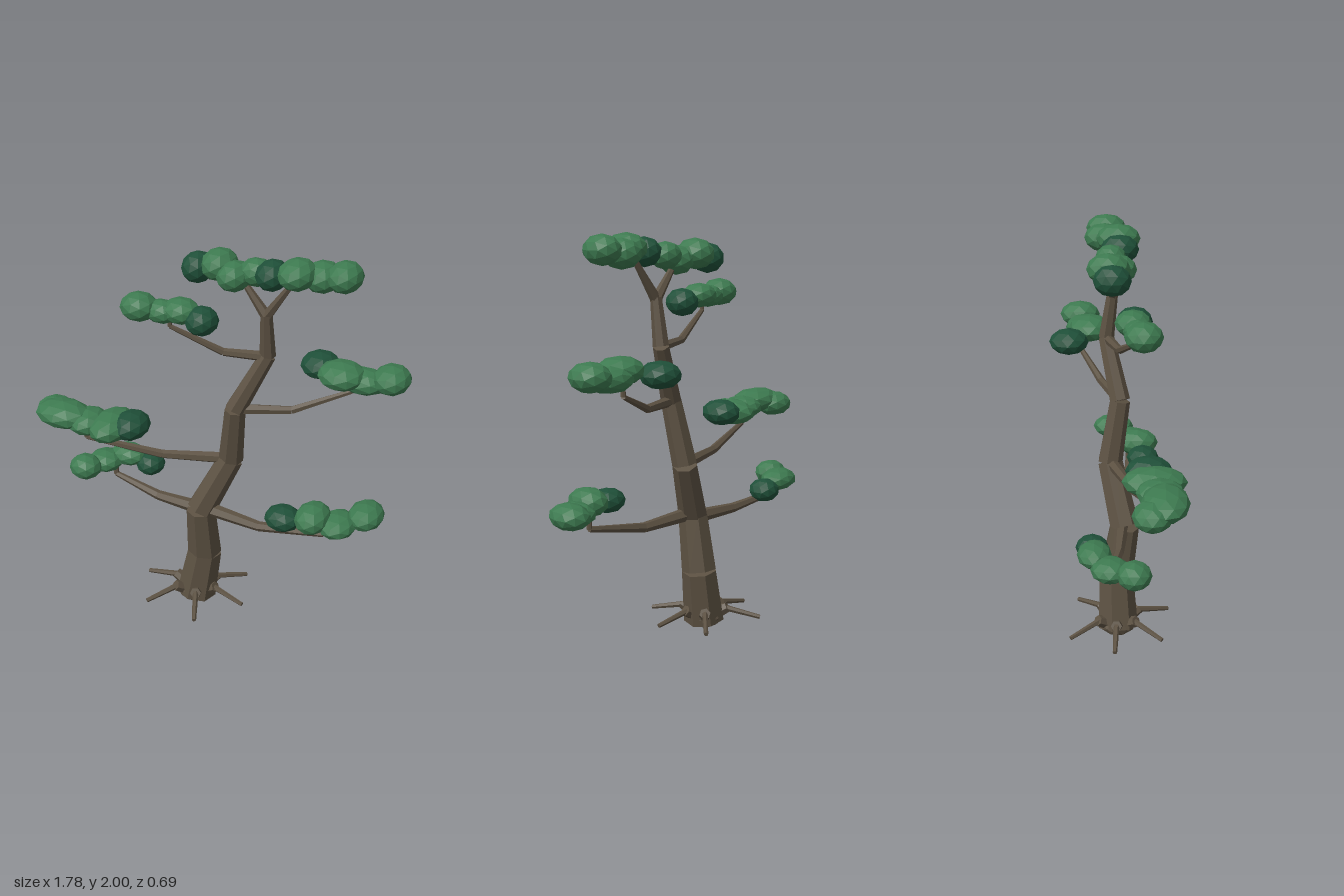
import * as THREE from 'three';

const mat = (name, color) => {
  const m = new THREE.MeshStandardMaterial({ color, flatShading: true });
  m.name = name;
  return m;
};

export function createModel() {
  const bark = mat('bark', 0x5c5142);
  const leaf = mat('leafGreen', 0x3d7a50);
  const darkLeaf = mat('darkLeafGreen', 0x1f5039);
  const model = new THREE.Group();
  model.name = 'bonsaiTree';

  const group = (name) => {
    const g = new THREE.Group();
    g.name = name;
    model.add(g);
    return g;
  };

  // Chain of tapered straight limbs through points [x, y, z, radius]
  const limb = (parent, name, points, sides) => {
    for (let i = 0; i < points.length - 1; i++) {
      const a = new THREE.Vector3(...points[i].slice(0, 3));
      const b = new THREE.Vector3(...points[i + 1].slice(0, 3));
      const dir = b.clone().sub(a);
      const geo = new THREE.CylinderGeometry(points[i + 1][3], points[i][3], dir.length(), sides);
      const mesh = new THREE.Mesh(geo, bark);
      mesh.name = name;
      mesh.position.copy(a).add(b).multiplyScalar(0.5);
      mesh.quaternion.setFromUnitVectors(new THREE.Vector3(0, 1, 0), dir.normalize());
      parent.add(mesh);
    }
  };

  // Faceted, squashed ball
  const blob = (parent, name, [x, y, z, rx, ry, rz], material) => {
    const mesh = new THREE.Mesh(new THREE.IcosahedronGeometry(1, 1), material);
    mesh.name = name;
    mesh.position.set(x, y, z);
    mesh.scale.set(rx, ry, rz);
    parent.add(mesh);
  };

  // Trunk zigzagging upward, with a rounded foot
  const trunk = group('trunk');
  limb(trunk, 'trunkSegment', [
    [-0.1, 0.05, 0.01, 0.104], [-0.055, 0.32, 0, 0.088], [-0.053, 0.6, 0.042, 0.074],
    [0.075, 0.89, -0.032, 0.062], [0.118, 1.2, 0.015, 0.051],
    [0.248, 1.48, -0.055, 0.039], [0.25, 1.7, -0.025, 0.028],
  ], 7);
  blob(trunk, 'trunkFoot', [-0.1, 0.07, 0.01, 0.098, 0.065, 0.098], bark);

  // Roots: a thick knuckle and a thin tip
  const roots = group('roots');
  for (const degrees of [-47, 7, 65, 127, 181, 234]) {
    const c = Math.cos(degrees * Math.PI / 180), s = Math.sin(degrees * Math.PI / 180);
    const at = (r, y, radius) => [-0.1 + c * r, y, 0.01 + s * r, radius];
    limb(roots, 'rootKnuckle', [at(0.04, 0.07, 0.036), at(0.12, 0.115, 0.028)], 6);
    limb(roots, 'rootTip', [at(0.09, 0.115, 0.016), at(0.285, 0.072, 0.011)], 6);
  }

  // Branches, each ending in a short upright twig
  const branches = group('branches');
  const paths = {
    lowRightBranch: [[-0.05, 0.59, 0.03, 0.036], [-0.31, 0.588, 0.02, 0.025], [-0.575, 0.627, -0.01, 0.014], [-0.575, 0.69, -0.01, 0.01]],
    lowLeftBranch: [[-0.04, 0.61, 0.04, 0.036], [0.27, 0.595, 0.05, 0.025], [0.607, 0.655, 0.05, 0.014], [0.607, 0.73, 0.05, 0.01]],
    middleRightBranch: [[0.075, 0.89, -0.03, 0.03], [-0.24, 0.893, 0.09, 0.022], [-0.59, 0.967, 0.22, 0.013], [-0.59, 1.04, 0.22, 0.01]],
    middleLeftBranch: [[0.118, 1.2, 0.015, 0.027], [0.365, 1.205, -0.085, 0.02], [0.62, 1.308, -0.215, 0.012], [0.62, 1.38, -0.215, 0.009]],
    upperRightBranch: [[0.245, 1.475, -0.05, 0.025], [0.055, 1.485, 0.015, 0.019], [-0.175, 1.605, 0.105, 0.011], [-0.175, 1.66, 0.105, 0.009]],
    rightFork: [[0.25, 1.69, -0.025, 0.026], [0.12, 1.86, -0.02, 0.012]],
    leftFork: [[0.25, 1.69, -0.025, 0.026], [0.385, 1.89, -0.02, 0.012]],
  };
  for (const [name, points] of Object.entries(paths)) limb(branches, name, points, 6);

  // Foliage pads: the first blob of each pad is dark
  const pads = {
    lowRightPad: [
      [-0.42, 0.685, -0.1, 0.075, 0.06, 0.078], [-0.54, 0.718, -0.085, 0.1, 0.055, 0.08],
      [-0.635, 0.695, -0.01, 0.09, 0.055, 0.09], [-0.69, 0.7, 0.1, 0.085, 0.065, 0.08],
    ],
    lowLeftPad: [
      [0.43, 0.745, 0.13, 0.09, 0.06, 0.085], [0.57, 0.77, 0.1, 0.085, 0.07, 0.11],
      [0.68, 0.742, 0.06, 0.09, 0.055, 0.11], [0.785, 0.768, -0.035, 0.085, 0.062, 0.11],
    ],
    middleRightPad: [
      [-0.37, 1.06, 0.16, 0.09, 0.068, 0.11], [-0.46, 1.05, 0.185, 0.105, 0.068, 0.15],
      [-0.58, 1.055, 0.21, 0.1, 0.06, 0.11], [-0.71, 1.075, 0.23, 0.15, 0.065, 0.108],
      [-0.79, 1.053, 0.175, 0.1, 0.065, 0.09],
    ],
    middleLeftPad: [
      [0.435, 1.388, -0.25, 0.095, 0.064, 0.1], [0.58, 1.412, -0.15, 0.115, 0.065, 0.11],
      [0.67, 1.385, -0.19, 0.12, 0.06, 0.09], [0.8, 1.412, -0.212, 0.09, 0.068, 0.105],
    ],
    upperRightPad: [
      [-0.02, 1.655, 0.085, 0.078, 0.068, 0.085], [-0.13, 1.682, 0.08, 0.09, 0.06, 0.085],
      [-0.215, 1.672, 0.105, 0.085, 0.055, 0.07], [-0.32, 1.685, 0.13, 0.09, 0.068, 0.088],
    ],
    topRightPad: [
      [-0.09, 1.868, -0.015, 0.073, 0.073, 0.088], [0.01, 1.892, -0.035, 0.085, 0.074, 0.102],
      [0.1, 1.865, 0, 0.08, 0.07, 0.095], [0.195, 1.89, -0.03, 0.08, 0.065, 0.075],
    ],
    topLeftPad: [
      [0.29, 1.908, 0.01, 0.075, 0.07, 0.092], [0.405, 1.93, 0, 0.088, 0.07, 0.108],
      [0.495, 1.91, -0.07, 0.085, 0.07, 0.1], [0.6, 1.93, -0.065, 0.08, 0.07, 0.1],
    ],
  };
  for (const [name, blobs] of Object.entries(pads)) {
    const pad = group(name);
    blobs.forEach((b, i) => blob(pad, 'foliage', b, i === 0 ? darkLeaf : leaf));
  }
  return model;
}
